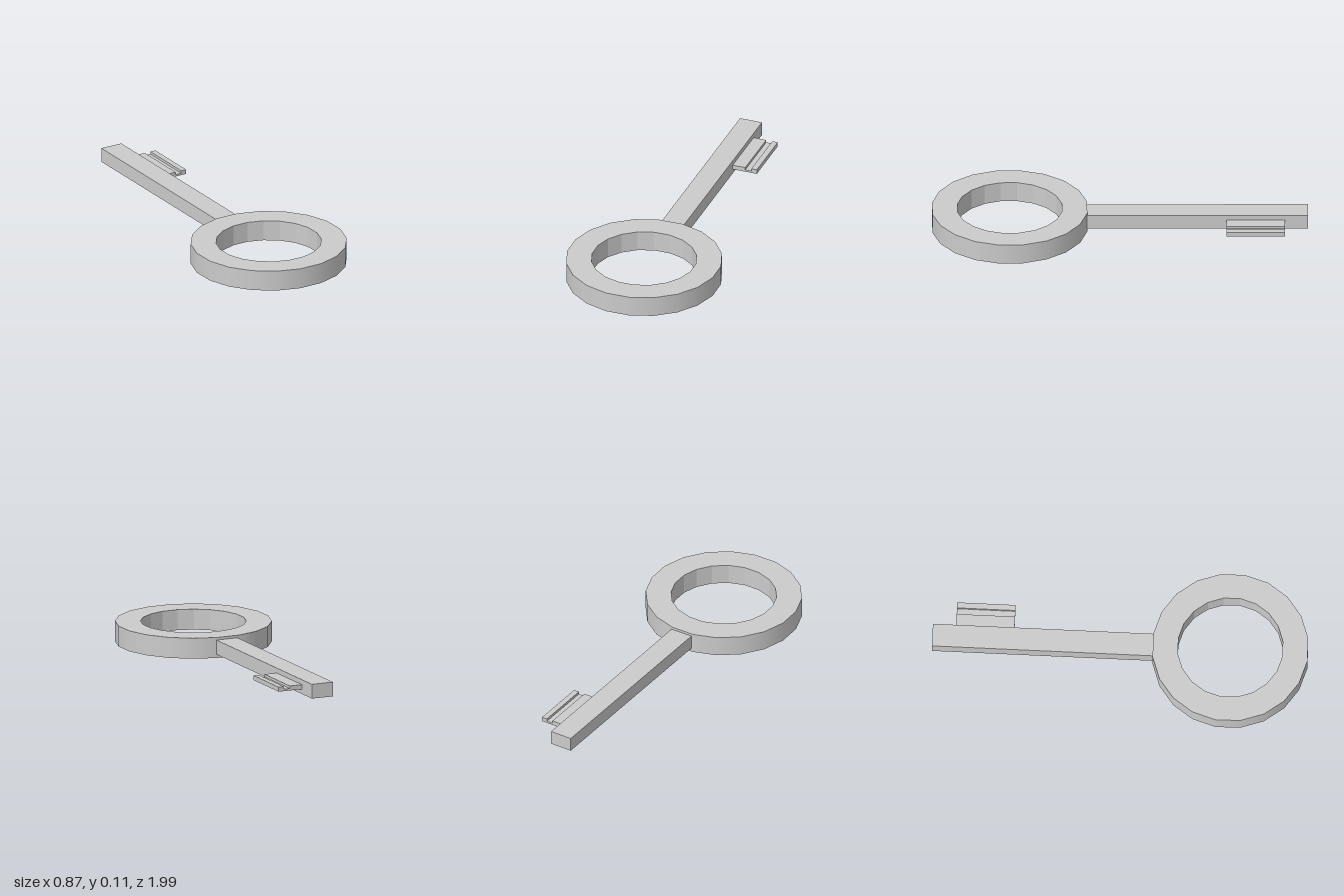
import * as THREE from 'three';

const SIDES = 20;
const OUTER = 0.418, INNER = 0.282, HEIGHT = 0.112;

export function createModel() {
  const key = new THREE.Group();
  key.name = 'key';
  const smooth = new THREE.MeshStandardMaterial({ color: 0xcccccc });
  const flat = new THREE.MeshStandardMaterial({ color: 0xcccccc, flatShading: true });

  // Ring handle: one lathe band per side of its rectangular section keeps the rims sharp
  const bow = new THREE.Group();
  bow.name = 'ringHandle';
  const section = [[OUTER, 0], [OUTER, HEIGHT], [INNER, HEIGHT], [INNER, 0]]
    .map(([r, y]) => new THREE.Vector2(r, y));
  ['outerWall', 'topFace', 'innerWall', 'bottomFace'].forEach((name, i) => {
    const band = new THREE.LatheGeometry([section[i], section[(i + 1) % 4]], SIDES);
    const mesh = new THREE.Mesh(band, name === 'outerWall' ? smooth : flat);
    mesh.name = name;
    bow.add(mesh);
  });
  key.add(bow);

  // Shaft and bit lie along -z from the ring centre and are turned as one
  const blade = new THREE.Group();
  blade.name = 'blade';
  blade.rotation.y = THREE.MathUtils.degToRad(-10);
  key.add(blade);

  // Square shaft, its near end buried in the ring
  const near = 0.38, far = 1.59;
  const shaft = new THREE.Mesh(new THREE.BoxGeometry(0.125, 0.078, far - near), flat);
  shaft.name = 'shaft';
  shaft.position.set(0, 0.059, -(near + far) / 2);
  blade.add(shaft);

  // Thin bit with one groove along its upper face
  const profile = new THREE.Shape([
    [0.05, 0.046], [0.2, 0.046], [0.2, 0.071], [0.169, 0.071],
    [0.169, 0.057], [0.134, 0.057], [0.134, 0.071], [0.05, 0.071],
  ].map(([x, y]) => new THREE.Vector2(x, y)));
  const bit = new THREE.Mesh(
    new THREE.ExtrudeGeometry(profile, { depth: 0.312, bevelEnabled: false }), flat);
  bit.name = 'bit';
  bit.position.z = -1.467;
  blade.add(bit);

  // Ring sits at the front, slightly off the centre line
  key.position.set(-0.018, 0, 0.58);
  const model = new THREE.Group();
  model.add(key);
  return model;
}
